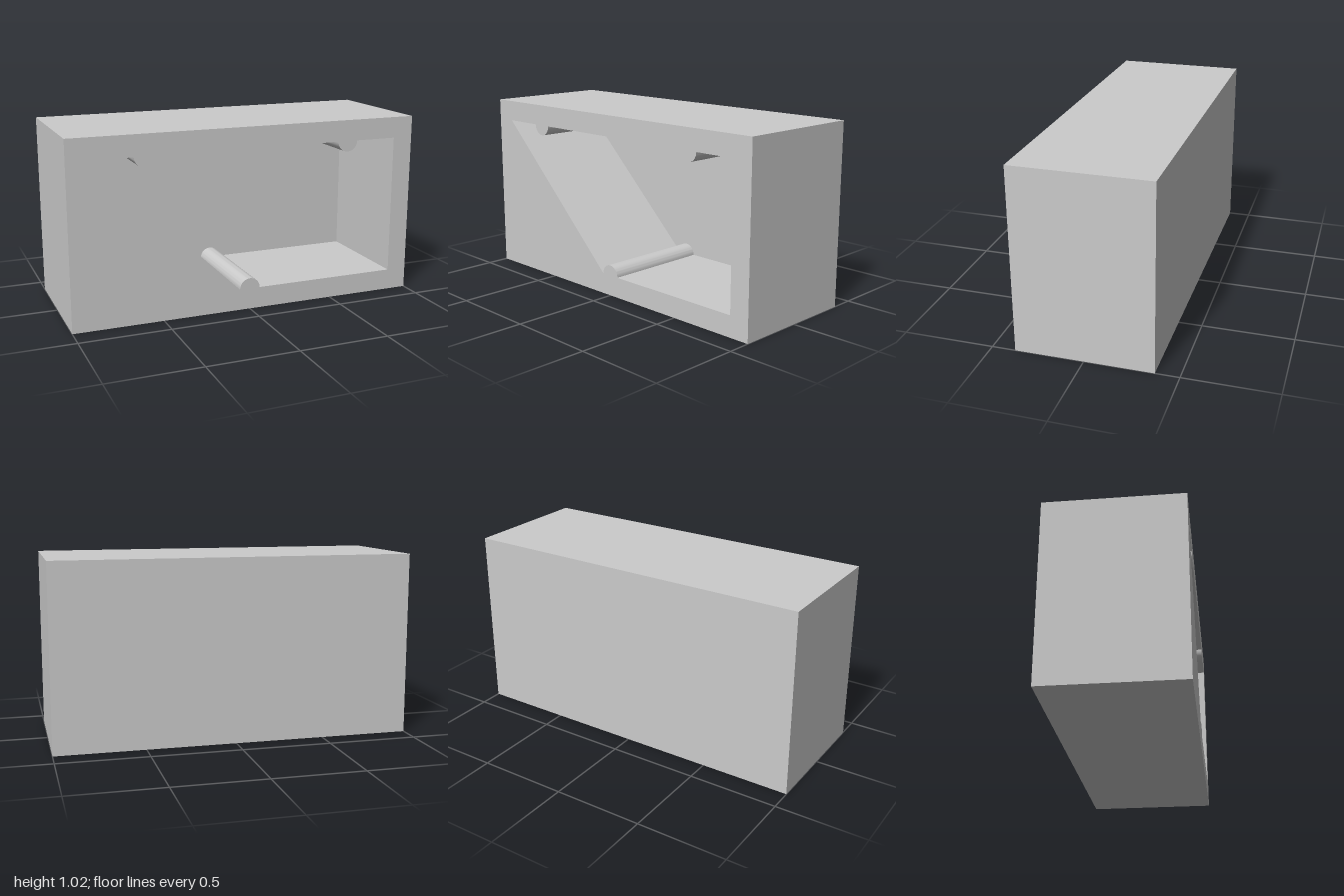
import * as THREE from 'three';
import { toCreasedNormals } from 'three/addons/utils/BufferGeometryUtils.js';

const W = 2, H = 1.024, D = 0.744;      // outer size
const BACK = 0.12;                      // back panel thickness
const IN_X = 0.885, IN_BOTTOM = 0.118, IN_TOP = 0.906; // opening
const RIB_R = 0.059, RIB_X = 0.588;     // half-round ribs

export function createModel() {
  const group = new THREE.Group();
  const material = new THREE.MeshStandardMaterial({ color: 0xcccccc });

  const add = (name, geometry, z) => {
    const mesh = new THREE.Mesh(geometry, material);
    mesh.name = name;
    mesh.position.z = z;
    group.add(mesh);
    return mesh;
  };

  // Outer outline of the case
  const outline = new THREE.Shape();
  outline.moveTo(-W / 2, 0);
  outline.lineTo(W / 2, 0);
  outline.lineTo(W / 2, H);
  outline.lineTo(-W / 2, H);
  outline.closePath();

  // Opening, with one rib on the floor and two under the ceiling
  const opening = new THREE.Path();
  opening.moveTo(-IN_X, IN_BOTTOM);
  opening.absarc(0, IN_BOTTOM, RIB_R, Math.PI, 0, true);
  opening.lineTo(IN_X, IN_BOTTOM);
  opening.lineTo(IN_X, IN_TOP);
  for (const x of [RIB_X, -RIB_X]) opening.absarc(x, IN_TOP, RIB_R, 0, Math.PI, true);
  opening.lineTo(-IN_X, IN_TOP);
  opening.closePath();
  outline.holes.push(opening);

  // Frame with ribs running the full depth of the cavity
  const frame = new THREE.ExtrudeGeometry(outline, {
    depth: D - BACK, bevelEnabled: false, curveSegments: 12,
  });
  add('ribbedFrame', toCreasedNormals(frame, 0.5), -D / 2 + BACK);

  // Closed back
  add('backPanel', new THREE.BoxGeometry(W, H, BACK), -D / 2 + BACK / 2).position.y = H / 2;

  return group;
}
